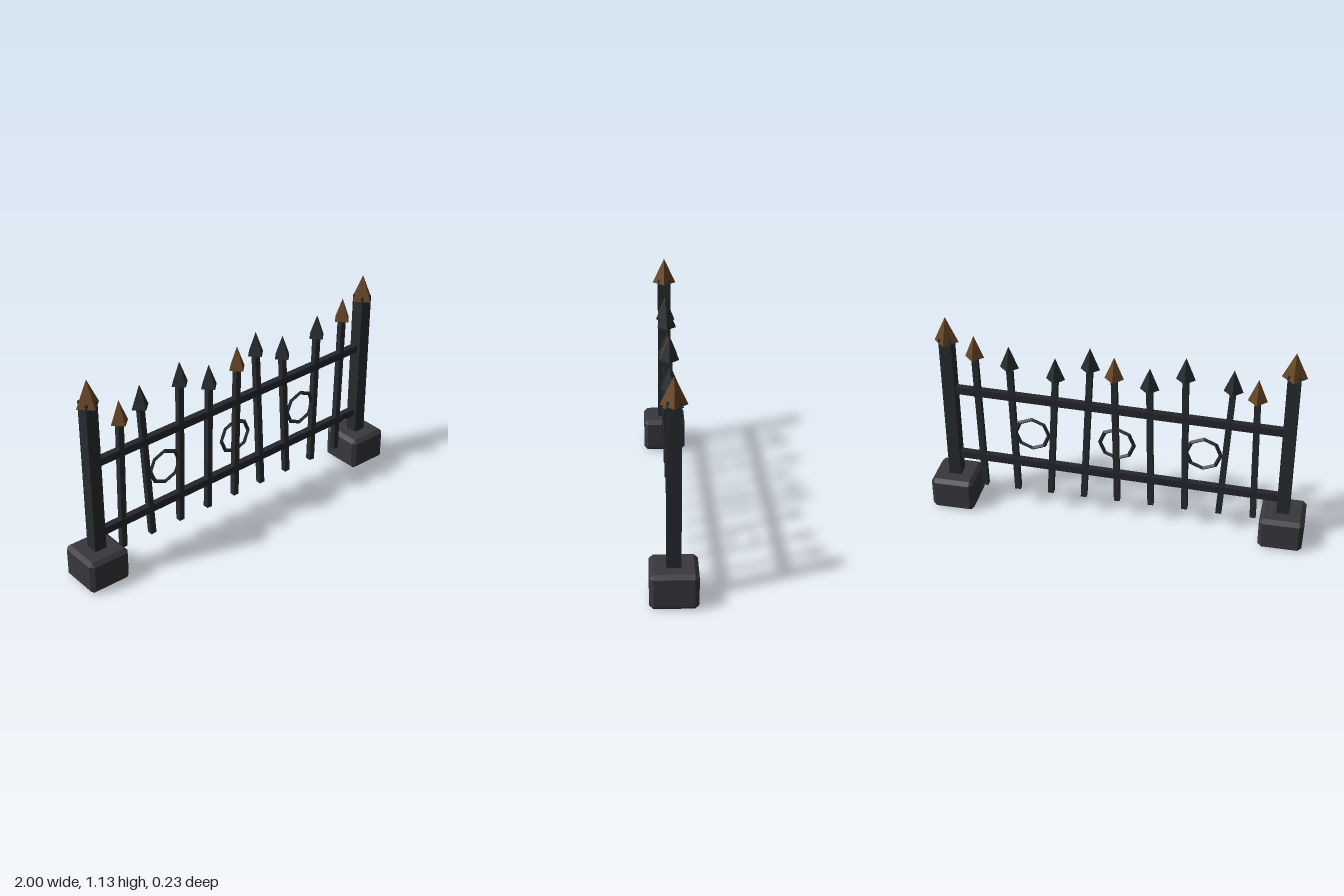
import * as THREE from 'three';
import { ConvexGeometry } from 'three/addons/geometries/ConvexGeometry.js';

const paint = (color) => new THREE.MeshStandardMaterial({ color, flatShading: true });
const iron = paint(0x262b2e);
const railIron = paint(0x24262d);
const bronze = paint(0x664525);
const stone = paint(0x37373d);

function add(parent, name, geometry, material, x, y, z = 0) {
  const mesh = new THREE.Mesh(geometry, material);
  mesh.name = name;
  mesh.position.set(x, y, z);
  parent.add(mesh);
  return mesh;
}

// Box with all edges chamfered
function chamferedBox(w, h, d, c) {
  const points = [];
  for (const sx of [-1, 1]) for (const sy of [-1, 1]) for (const sz of [-1, 1]) {
    for (let axis = 0; axis < 3; axis++) {
      const inset = [c, c, c];
      inset[axis] = 0;
      points.push(new THREE.Vector3(
        sx * (w / 2 - inset[0]), sy * (h / 2 - inset[1]), sz * (d / 2 - inset[2])));
    }
  }
  return new ConvexGeometry(points);
}

// Square bar running between two points in the fence plane
function bar(parent, name, material, x0, y0, x1, y1, width, depth) {
  const dx = x1 - x0, dy = y1 - y0;
  const mesh = add(parent, name, new THREE.BoxGeometry(width, Math.hypot(dx, dy), depth),
    material, (x0 + x1) / 2, (y0 + y1) / 2);
  mesh.rotation.z = -Math.atan2(dx, dy);
  return mesh;
}

// Four-sided spear point with its edges facing front and sides
function spike(parent, name, material, x, baseY, radius, height) {
  return add(parent, name, new THREE.ConeGeometry(radius, height, 4), material, x, baseY + height / 2);
}

export function createModel() {
  const fence = new THREE.Group();
  fence.name = 'fence';

  // End posts on stone footings
  for (const side of [-1, 1]) {
    const post = new THREE.Group();
    post.name = side > 0 ? 'leftPost' : 'rightPost';
    const x = side * 0.885;
    add(post, 'footing', chamferedBox(0.23, 0.183, 0.234, 0.02), stone, x, 0.0915);
    add(post, 'postShaft', new THREE.BoxGeometry(0.066, 0.87, 0.07), iron, x, 0.58);
    spike(post, 'postCap', bronze, x, 0.993, 0.064, 0.137);
    fence.add(post);
  }

  // Slightly sloping rails
  bar(fence, 'upperRail', railIron, -0.88, 0.668, 0.88, 0.707, 0.04, 0.035);
  bar(fence, 'lowerRail', railIron, -0.88, 0.263, 0.88, 0.304, 0.04, 0.035);

  // Leaning pickets with spear points
  const leans = [0.016, -0.043, 0.016, 0.016, 0.016, -0.043, -0.043, 0.016, 0.016];
  const baseHeights = [0.834, 0.874, 0.915];
  leans.forEach((lean, i) => {
    const picket = new THREE.Group();
    picket.name = `picket${i + 1}`;
    const x = (i - 4) * 0.1818 - 0.002;
    const y = baseHeights[i % 3];
    bar(picket, 'picketShaft', iron, x, 0.117, x + lean, y + 0.02, 0.031, 0.031);
    spike(picket, 'spearPoint', i % 4 === 0 ? bronze : iron, x + lean, y, 0.05, 0.123);
    fence.add(picket);
  });

  // Octagonal ornament rings
  for (const x of [-0.454, 0, 0.454]) {
    add(fence, 'ornamentRing', new THREE.TorusGeometry(0.09, 0.011, 4, 8), iron, x, 0.478);
  }

  return fence;
}
